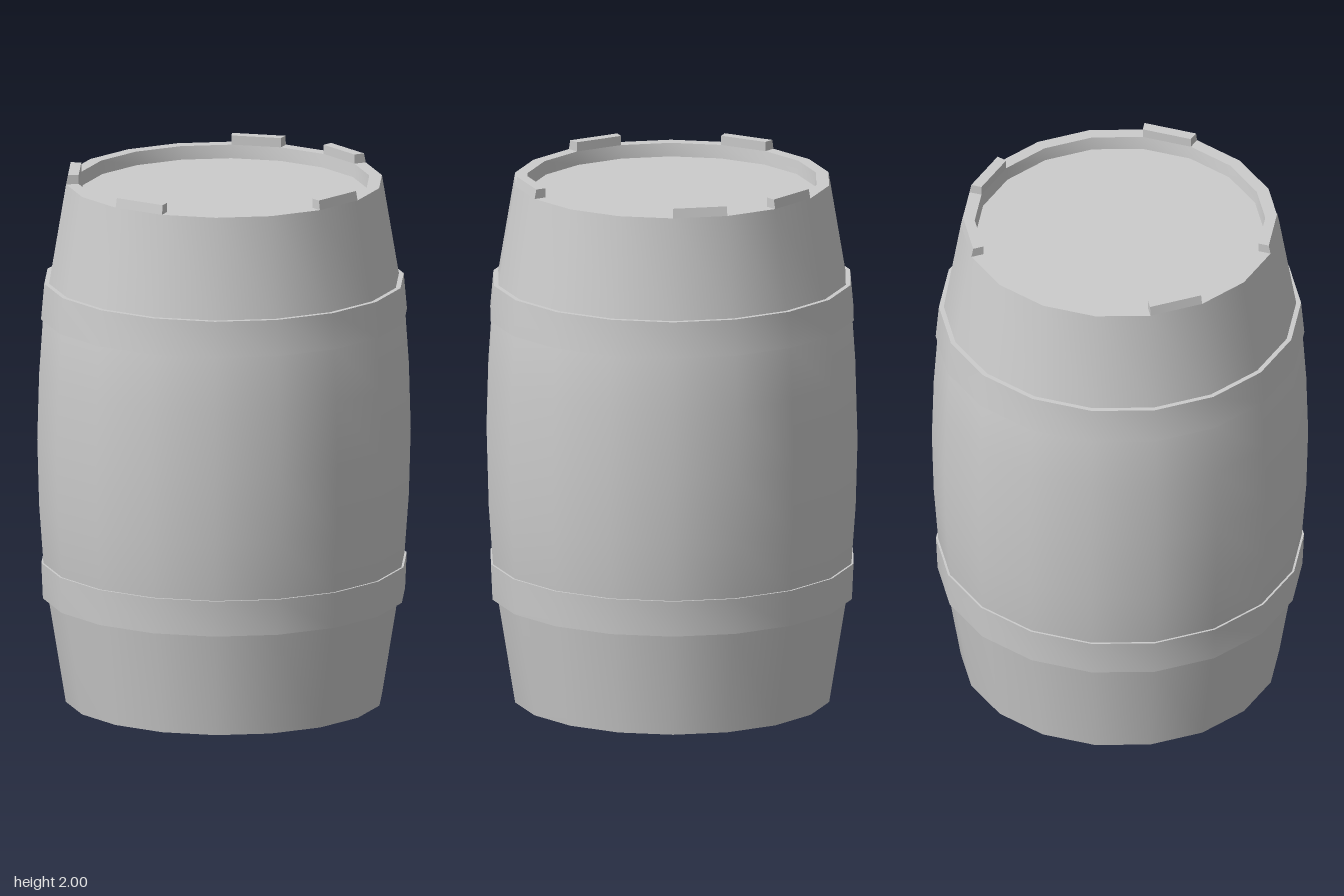
import * as THREE from 'three';
import { toCreasedNormals } from 'three/addons/utils/BufferGeometryUtils.js';

const SIDES = 18;
const STEP = (Math.PI * 2) / SIDES;
const RIM = 1.965, TOP = 2;
const material = new THREE.MeshStandardMaterial({ color: 0xcccccc });

// Revolve a [radius, y] profile, with a corner of the polygon on the x axis
function turned(name, profile) {
  const points = profile.map(([r, y]) => new THREE.Vector2(r, y));
  const lathe = new THREE.LatheGeometry(points, SIDES, STEP / 2);
  const mesh = new THREE.Mesh(toCreasedNormals(lathe, Math.PI / 6), material);
  mesh.name = name;
  return mesh;
}

// One raised stave end: a box bent into a slice of the rim
function staveEnd(slot) {
  const geometry = new THREE.BoxGeometry(1, 1, 1);
  const pos = geometry.attributes.position;
  for (let i = 0; i < pos.count; i++) {
    const upper = pos.getY(i) > 0;
    const r = pos.getZ(i) > 0 ? (upper ? 0.58 : 0.587) : 0.54;
    const a = (slot + pos.getX(i)) * STEP;
    pos.setXYZ(i, r * Math.sin(a), upper ? TOP : RIM, r * Math.cos(a));
  }
  geometry.computeVertexNormals();
  const mesh = new THREE.Mesh(geometry, material);
  mesh.name = 'staveEnd';
  return mesh;
}

export function createModel() {
  const barrel = new THREE.Group();
  barrel.name = 'barrel';

  // Bulging body with a recessed base and lid
  barrel.add(turned('body', [
    [0, 0.05], [0.535, 0.05], [0.54, 0], [0.588, 0],
    [0.652, 0.395], [0.671, 0.53], [0.687, 0.75], [0.694, 1],
    [0.687, 1.25], [0.673, 1.455], [0.65, 1.59],
    [0.587, RIM], [0.54, RIM], [0.534, 1.915], [0, 1.915],
  ]));

  // Hoops: proud at the outer edge, nearly flush towards the middle
  barrel.add(turned('lowerHoop', [
    [0.64, 0.395], [0.673, 0.395], [0.679, 0.53], [0.66, 0.53],
  ]));
  barrel.add(turned('upperHoop', [
    [0.66, 1.455], [0.68, 1.455], [0.668, 1.59], [0.64, 1.59],
  ]));

  // Uneven stave ends, counted in sides from the front towards +x
  const staveEnds = new THREE.Group();
  staveEnds.name = 'staveEnds';
  for (const slot of [0, 4, 6, 11, 14]) staveEnds.add(staveEnd(slot));
  barrel.add(staveEnds);

  return barrel;
}
